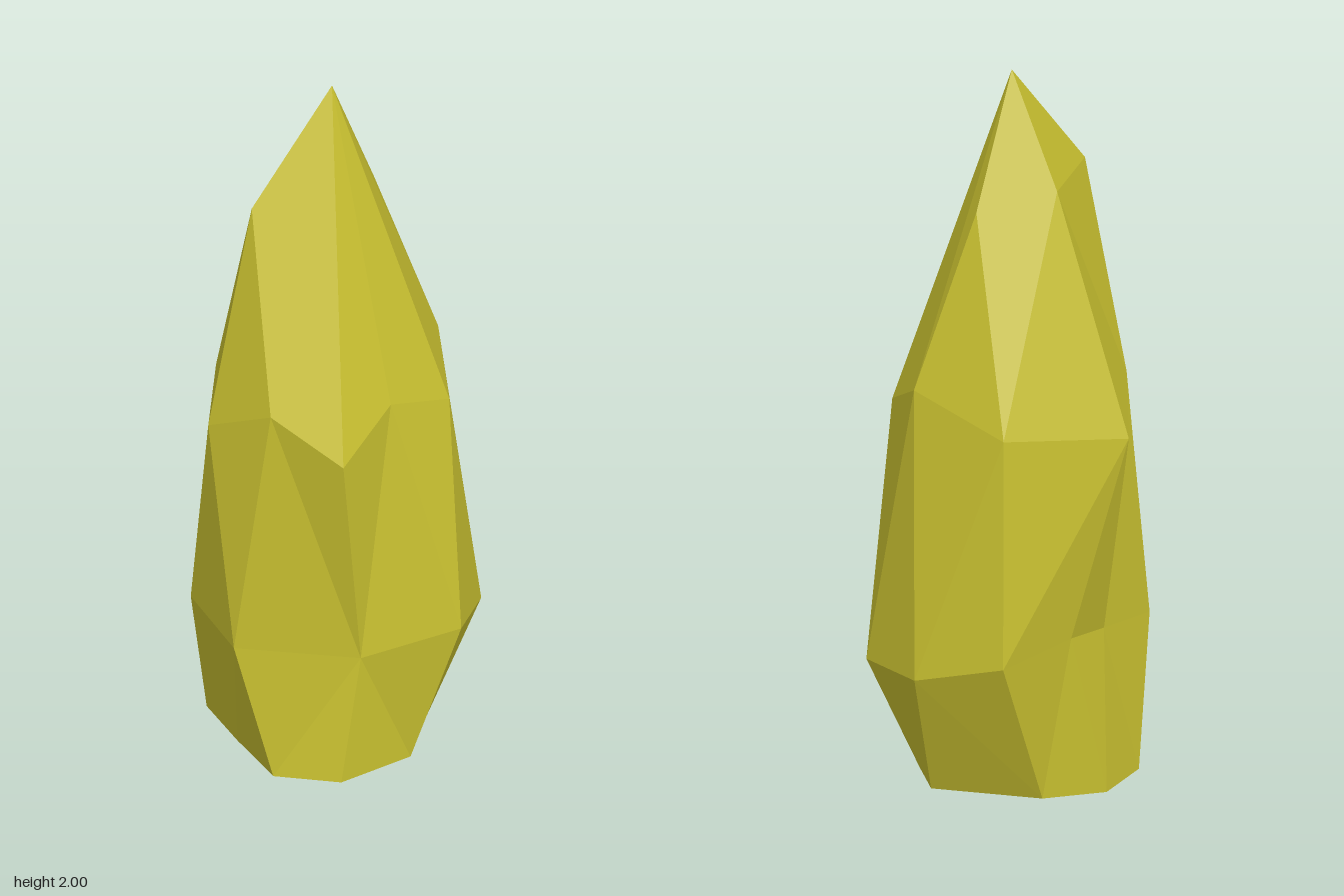
import * as THREE from 'three';

// Rings of corners [x, y, z], going round from +x towards +z
const base = [[0.235, 0, 0], [0.23, 0, 0.17], [0.07, 0, 0.33], [-0.115, 0, 0.33], [-0.24, 0, 0.17],
  [-0.35, 0, 0.015], [-0.27, 0, -0.16], [-0.1, 0, -0.215], [0.2, 0, -0.15]];
const lower = [[0.365, 0.41, 0.155], [0.115, 0.37, 0.285], [-0.22, 0.4, 0.34], [-0.375, 0.41, 0.12], [-0.26, 0.44, -0.08],
  [-0.177, 0.46, -0.215], [0, 0.42, -0.355], [0.24, 0.36, -0.285], [0.375, 0.35, -0.1]];
const middle = [[0.31, 1.05, 0.025], [0.18, 1.12, 0.19], [0.08, 1.01, 0.355], [-0.12, 1.14, 0.34], [-0.305, 1.04, 0.25],
  [-0.315, 1.12, 0.07], [-0.33, 1.02, -0.177], [0, 1.06, -0.32], [0.245, 1.15, -0.175]];

// Shoulder corners and tip
const frontShoulder = [-0.2, 1.69, 0.175];
const sideShoulder = [-0.135, 1.69, -0.085];
const backShoulder = [0.08, 1.64, -0.12];
const tip = [-0.01, 2, 0.015];

// Triangles from one corner to a run of corners
function fan(top, run) {
  const tris = [];
  for (let i = 0; i + 1 < run.length; i++) tris.push(top, run[i + 1], run[i]);
  return tris;
}

// Angle of the k-th corner, counting on past a full turn
function angle(ring, k) {
  const [x, , z] = ring[k % ring.length];
  const a = Math.atan2(z, x);
  return (a < 0 ? a + 2 * Math.PI : a) + (k >= ring.length ? 2 * Math.PI : 0);
}

// Band between two rings, always stepping to the corner that comes next by angle
function band(up, low) {
  const tris = [];
  const U = (k) => up[k % up.length], L = (k) => low[k % low.length];
  let i = 0, j = 0;
  while (i < up.length || j < low.length) {
    const stepUp = j === low.length || (i < up.length && angle(up, i + 1) < angle(low, j + 1));
    if (stepUp) {
      tris.push(L(j), U(i), U(i + 1));
      i++;
    } else {
      tris.push(U(i), L(j + 1), L(j));
      j++;
    }
  }
  return tris;
}

export function createModel() {
  const group = new THREE.Group();
  group.name = 'crystal';
  const material = new THREE.MeshStandardMaterial({ color: 0xc8c030, flatShading: true });

  function addPart(name, tris) {
    const geometry = new THREE.BufferGeometry();
    geometry.setAttribute('position', new THREE.Float32BufferAttribute(tris.flat(), 3));
    geometry.computeVertexNormals();
    const mesh = new THREE.Mesh(geometry, material);
    mesh.name = name;
    group.add(mesh);
  }

  const m = middle;
  // Pointed top with three shoulder corners
  addPart('crystalPoint', [
    ...fan(tip, [m[3], frontShoulder, sideShoulder, m[7], backShoulder, m[8], m[0], m[1], m[2], m[3]]),
    ...fan(frontShoulder, [m[3], m[4], m[5], sideShoulder]),
    ...fan(sideShoulder, [m[5], m[6], m[7]]),
    ...fan(backShoulder, [m[7], m[8]]),
  ]);
  // Faceted shaft and tapered foot
  addPart('crystalShaft', band(middle, lower));
  addPart('crystalFoot', band(lower, base));
  // Flat underside
  addPart('crystalUnderside', fan([0, 0, 0], [...base, base[0]].reverse()));
  return group;
}
